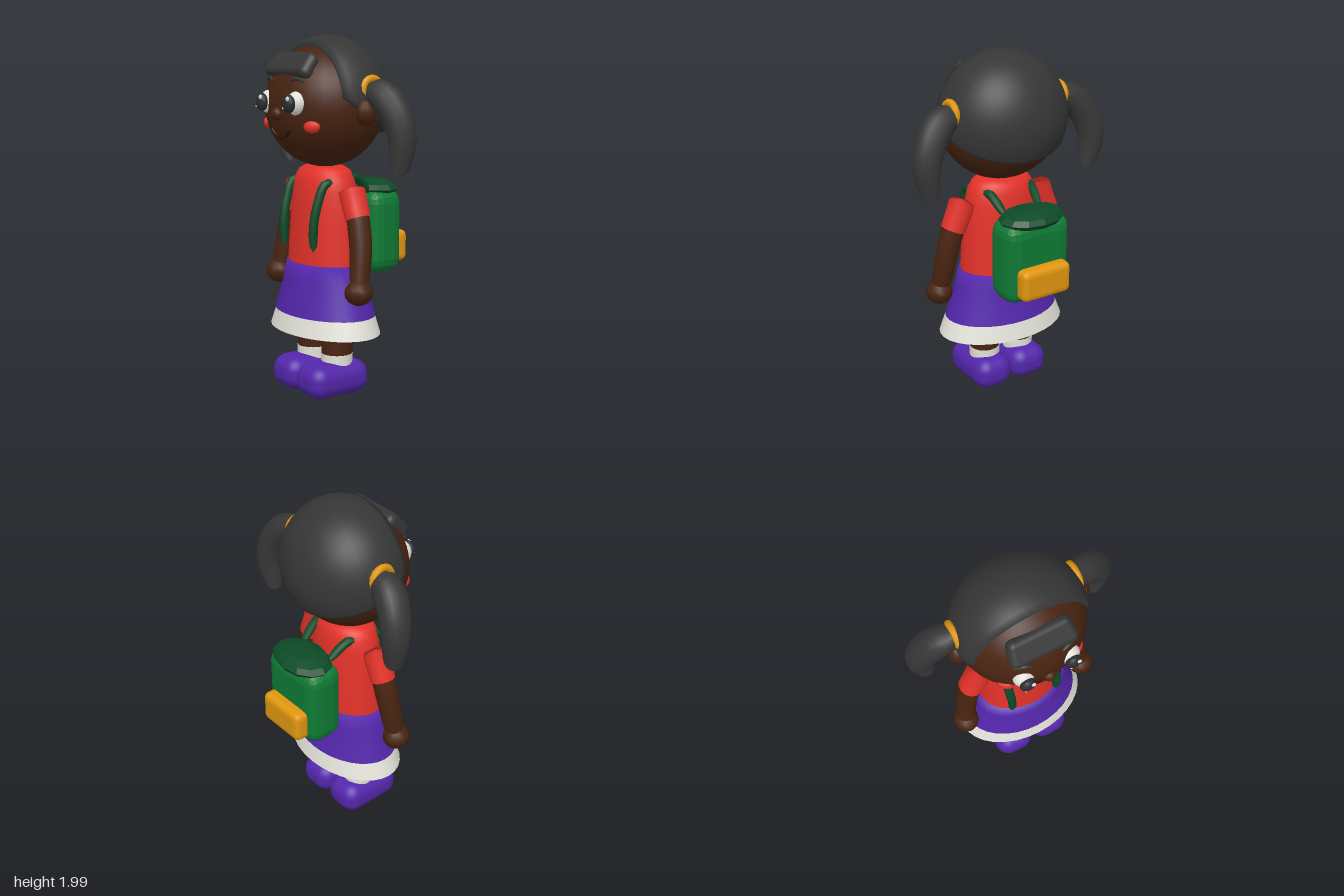
import * as THREE from 'three';
import { mergeVertices } from 'three/addons/utils/BufferGeometryUtils.js';
import { RoundedBoxGeometry } from 'three/addons/geometries/RoundedBoxGeometry.js';

const mat = (name, color, side = THREE.FrontSide) => {
  const m = new THREE.MeshStandardMaterial({ color, side });
  m.name = name;
  return m;
};
const V = (a) => new THREE.Vector3(...a);

export function createModel() {
  const skin = mat('brown skin', 0x482310);
  const hairMat = mat('charcoal hair', 0x363636);
  const red = mat('red', 0xe23229);
  const purple = mat('purple', 0x5326aa);
  const white = mat('off white', 0xe2e2da, THREE.DoubleSide);
  const green = mat('green', 0x0f7a34);
  const darkGreen = mat('dark green', 0x0d4a27);
  const yellow = mat('amber', 0xe0960f);
  const pupilMat = mat('pupil black', 0x2b2e31);
  const mouthMat = mat('dark brown', 0x2c1407);

  const model = new THREE.Group();
  model.name = 'schoolgirl';

  const add = (name, geo, material, pos = [0, 0, 0], parent = model) => {
    const mesh = new THREE.Mesh(geo, material);
    mesh.name = name;
    mesh.position.set(...pos);
    parent.add(mesh);
    return mesh;
  };
  const ball = (rx, ry, rz, w = 16, h = 10) => new THREE.SphereGeometry(1, w, h).scale(rx, ry, rz);
  const flat = (geo) => {
    const g = geo.index ? geo.toNonIndexed() : geo;
    g.computeVertexNormals();
    return g;
  };
  // Lathed body part squashed in z and shifted to the body axis
  const lathe = (pts, squash) => new THREE.LatheGeometry(pts.map((p) => new THREE.Vector2(...p)), 32)
    .scale(1, 1, squash).translate(0, 0, 0.06);
  // Tube along points whose radius follows a list; ends may be rounded off
  const taper = (pts, radii, sides = 12, roundStart = true, roundEnd = true) => {
    const curve = new THREE.CatmullRomCurve3(pts.map(V));
    const n = 24;
    const geo = new THREE.TubeGeometry(curve, n, 1, sides);
    const p = geo.attributes.position;
    const v = new THREE.Vector3();
    const cap = (d) => Math.sqrt(1 - (1 - Math.min(1, d / 0.12)) ** 2);
    for (let i = 0; i <= n; i++) {
      const t = i / n;
      const f = t * (radii.length - 1);
      const k = Math.min(Math.floor(f), radii.length - 2);
      let r = THREE.MathUtils.lerp(radii[k], radii[k + 1], f - k);
      if (roundStart) r *= cap(t);
      if (roundEnd) r *= cap(1 - t);
      const c = curve.getPointAt(t);
      for (let j = 0; j <= sides; j++) {
        const q = i * (sides + 1) + j;
        v.fromBufferAttribute(p, q).sub(c).multiplyScalar(r).add(c);
        p.setXYZ(q, v.x, v.y, v.z);
      }
    }
    return geo;
  };

  // Head
  add('head', ball(0.35, 0.34, 0.32, 28, 20), skin, [0, 1.62, 0.06]);
  add('nose', ball(0.037, 0.037, 0.035, 10, 8), skin, [0, 1.58, 0.372]);
  const smile = new THREE.CatmullRomCurve3([[-0.085, 1.495, 0.35], [-0.045, 1.462, 0.347],
    [0, 1.452, 0.345], [0.045, 1.462, 0.347], [0.085, 1.495, 0.35]].map(V));
  add('smile', new THREE.TubeGeometry(smile, 16, 0.008, 6), mouthMat);

  // Hair cap: rays from the back of the skull, stopped at the hairline
  const rings = 16, spokes = 48, verts = [], idx = [];
  for (let j = 0; j < spokes; j++) {
    const psi = (j / spokes) * Math.PI * 2;
    const at = (a, s = 1) => [0.37 * s * Math.sin(a) * Math.cos(psi),
      1.63 + 0.37 * s * Math.sin(a) * Math.sin(psi), 0.04 - 0.33 * s * Math.cos(a)];
    let end = 0;
    for (; end < 3; end += 0.005) {
      const [, y, z] = at(end);
      if (z > 0.18 || y < 1.57 + 0.47 * z) break;
    }
    for (let i = 0; i <= rings; i++) verts.push(...at((end * i) / rings));
    verts.push(...at(end, 0.88));
  }
  const row = rings + 2;
  for (let j = 0; j < spokes; j++) {
    const a = j * row, b = ((j + 1) % spokes) * row;
    for (let i = 0; i < row - 1; i++) {
      if (i > 0) idx.push(a + i, b + i, a + i + 1);
      idx.push(b + i, b + i + 1, a + i + 1);
    }
  }
  let cap = new THREE.BufferGeometry();
  cap.setAttribute('position', new THREE.Float32BufferAttribute(verts, 3));
  cap.setIndex(idx);
  cap = mergeVertices(cap);
  cap.computeVertexNormals();
  add('hairCap', cap, hairMat);

  // Fringe: rounded slab bent around the forehead
  const fringe = new RoundedBoxGeometry(0.38, 0.155, 0.075, 4, 0.035);
  const fp = fringe.attributes.position;
  for (let i = 0; i < fp.count; i++) {
    const x = fp.getX(i), y = fp.getY(i);
    fp.setX(i, x * (1 - Math.max(0, y) * 1.8));
    fp.setZ(i, fp.getZ(i) - 1.2 * x * x);
  }
  add('fringe', fringe, hairMat, [0, 1.86, 0.297]).rotation.x = -0.72;

  // Torso and skirt
  add('shirt', lathe([[0.25, 0.74], [0.243, 0.85], [0.23, 1.02], [0.217, 1.15], [0.2, 1.22],
    [0.172, 1.265], [0.13, 1.285], [0, 1.285]], 0.72), red);
  add('skirt', lathe([[0.348, 0.465], [0.315, 0.56], [0.285, 0.66], [0.262, 0.75], [0, 0.752]], 0.69), purple);
  add('skirtTrim', lathe([[0.387, 0.365], [0.348, 0.465]], 0.67), white);
  add('skirtUnderside', new THREE.CircleGeometry(0.384, 32).rotateX(Math.PI / 2).scale(1, 1, 0.67), white, [0, 0.368, 0.06]);

  // Paired parts
  for (const s of [1, -1]) {
    const side = s > 0 ? 'left' : 'right';
    const g = new THREE.Group();
    g.name = side + 'Side';
    model.add(g);
    const put = (name, geo, m, pos = [0, 0, 0]) => add(side + name, geo, m, [pos[0] * s, pos[1], pos[2]], g);
    const mir = (pts) => pts.map(([x, y, z]) => [x * s, y, z]);

    // Face
    put('Eye', ball(0.058, 0.065, 0.05), white, [0.13, 1.64, 0.336]);
    put('Pupil', ball(0.044, 0.049, 0.03, 12, 8), pupilMat, [0.13, 1.64, 0.385]);
    add(side + 'EyeGlint', ball(0.013, 0.013, 0.008, 8, 6), white, [0.13 * s + 0.021, 1.667, 0.408], g);
    add(side + 'SmallGlint', ball(0.007, 0.007, 0.005, 8, 6), white, [0.13 * s - 0.022, 1.618, 0.406], g);
    put('Eyebrow', taper(mir([[0.085, 1.757, 0.345], [0.125, 1.772, 0.335], [0.175, 1.752, 0.315]]),
      [0.009, 0.011, 0.008], 6), hairMat);
    put('Cheek', ball(0.047, 0.034, 0.022, 8, 6), red, [0.212, 1.52, 0.296]).rotation.y = s * 0.65;
    put('Ear', ball(0.05, 0.072, 0.06, 12, 8), skin, [0.36, 1.595, 0.05]);

    // Pigtail
    put('HairTie', new THREE.TorusGeometry(0.062, 0.02, 8, 16).rotateY(Math.PI / 2), yellow, [0.345, 1.71, 0]);
    put('Pigtail', taper(mir([[0.325, 1.705, 0], [0.42, 1.675, -0.02], [0.495, 1.58, -0.045],
      [0.527, 1.45, -0.06], [0.5, 1.25, -0.05]]), [0.075, 0.092, 0.083, 0.068, 0.045]), hairMat);

    // Arm
    put('Sleeve', taper(mir([[0.245, 1.185, 0.06], [0.268, 1.12, 0.06], [0.31, 1.02, 0.062]]),
      [0.075, 0.073, 0.07], 14, true, false), red);
    put('Arm', taper(mir([[0.285, 1.08, 0.06], [0.31, 1.02, 0.062], [0.35, 0.86, 0.075], [0.375, 0.66, 0.105]]),
      [0.064, 0.064, 0.06, 0.053], 14), skin);
    put('Hand', ball(0.075, 0.07, 0.08, 12, 8), skin, [0.38, 0.635, 0.11]);

    // Leg, sock and shoe
    put('Leg', new THREE.CylinderGeometry(0.087, 0.087, 0.26, 20), skin, [0.115, 0.35, 0.06]);
    put('Sock', new THREE.CylinderGeometry(0.089, 0.089, 0.11, 20), white, [0.115, 0.185, 0.06]);
    const shoe = new RoundedBoxGeometry(0.236, 0.196, 0.395, 5, 0.085);
    const sp = shoe.attributes.position;
    for (let i = 0; i < sp.count; i++) {
      const z = sp.getZ(i);
      sp.setY(i, sp.getY(i) * (1 - 1.6 * z * z));
    }
    put('Shoe', shoe, purple, [0.119, 0.102, 0.092]);

    // Shoulder strap
    put('Strap', taper(mir([[0.14, 0.83, 0.237], [0.142, 0.98, 0.236], [0.148, 1.1, 0.212], [0.152, 1.2, 0.165],
      [0.145, 1.2, 0.06], [0.135, 1.225, -0.04], [0.11, 1.13, -0.17]]), [0.025, 0.025], 8), darkGreen);
  }

  // Backpack
  const pack = new THREE.Group();
  pack.name = 'backpack';
  model.add(pack);
  add('packBody', flat(new RoundedBoxGeometry(0.41, 0.47, 0.225, 2, 0.075)), green, [0, 0.905, -0.24], pack);
  add('packLid', flat(ball(0.2, 0.055, 0.138, 12, 6)), darkGreen, [0, 1.14, -0.255], pack);
  add('packPocket', flat(new RoundedBoxGeometry(0.31, 0.18, 0.1, 2, 0.035)), yellow, [0, 0.805, -0.372], pack);

  return model;
}
